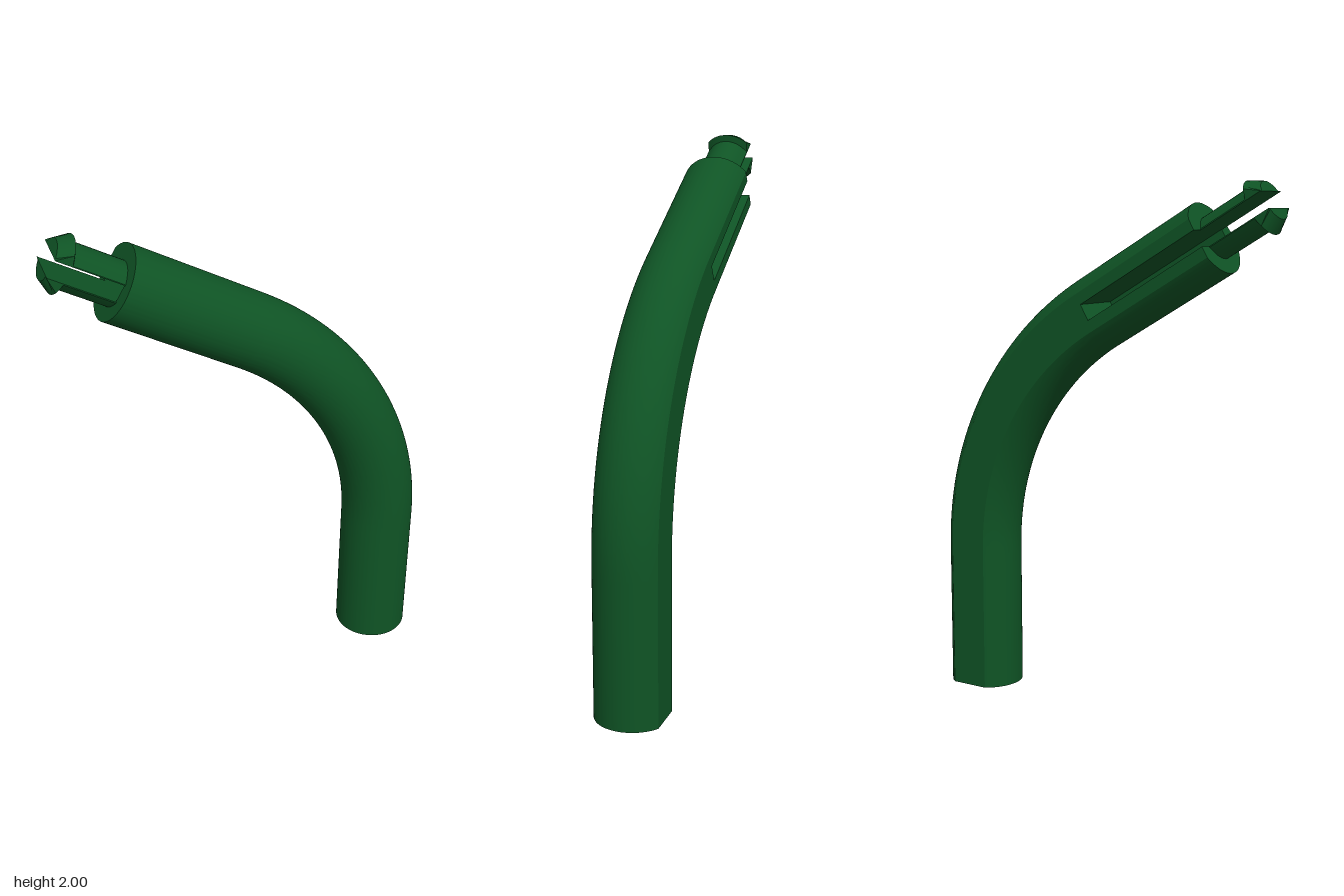
import * as THREE from 'three';
import { toCreasedNormals } from 'three/addons/utils/BufferGeometryUtils.js';

const RADIUS = 0.143, FLAT = 0.121;          // tube radius, distance of the back flat from the axis
const BASE_X = 0.578, AXIS_Z = -0.013;
const RISE = 0.57, BEND = 1.098, ANGLE = Math.PI / 3;
const ARC_END = RISE + BEND * ANGLE;
const TUBE_END = ARC_END + 0.565;
const SLOT_START = TUBE_END - 0.55;
const GAP = 0.033;                           // half width of the slot

// Point at distance s along the bent axis, a outward in the bend plane, b toward the back
function onPath(s, a, b) {
  const t = THREE.MathUtils.clamp((s - RISE) / BEND, 0, ANGLE);
  const c = Math.cos(t), n = Math.sin(t);
  const extra = s < RISE ? s - RISE : Math.max(0, s - ARC_END);
  const r = BEND + a;
  return [BASE_X - BEND + r * c - n * extra, RISE + r * n + c * extra, AXIS_Z - b];
}

// Move every vertex through a rule that returns path coordinates
function bend(geometry, rule) {
  const p = geometry.attributes.position;
  for (let i = 0; i < p.count; i++) {
    p.setXYZ(i, ...onPath(...rule(p.getX(i), p.getY(i), p.getZ(i))));
  }
  return toCreasedNormals(geometry, 0.4);
}

// Circle with a flat back, optionally notched by the slot
function tubeSection(slotted) {
  const edge = Math.asin(FLAT / RADIUS);
  const shape = new THREE.Shape();
  shape.absarc(0, 0, RADIUS, Math.PI - edge, 2 * Math.PI + edge, false);
  if (slotted) {
    const floor = -0.083;
    shape.lineTo(GAP, FLAT);
    shape.lineTo(GAP, floor);
    shape.lineTo(-GAP, floor);
    shape.lineTo(-GAP, FLAT);
  }
  shape.closePath();
  return shape;
}

function tube(s0, s1, steps, slotted) {
  const g = new THREE.ExtrudeGeometry(tubeSection(slotted), {
    depth: 1, steps, curveSegments: 48, bevelEnabled: false,
  });
  return bend(g, (a, b, k) => [s0 + (s1 - s0) * k, a, b]);
}

// Hooked prong: side profile extruded across, its outer side rounded
function prong(side) {
  const profile = [
    [-0.02, GAP], [0.265, GAP], [0.262, 0.076], [0.211, 0.108], [0.2, 0.085], [-0.02, 0.085],
  ];
  const shape = new THREE.Shape(profile.map(([u, v]) => new THREE.Vector2(u, v * side)));
  const half = 0.08;
  const g = new THREE.ExtrudeGeometry(shape, { depth: 2 * half, steps: 12, bevelEnabled: false });
  return bend(g, (u, v, d) => {
    const w = d - half, h = Math.abs(v);
    const round = h > GAP + 0.001
      ? Math.max(GAP + 0.004, Math.sqrt(Math.max(0, h * h - w * w))) : h;
    return [TUBE_END + u, side * round, w - 0.01];
  });
}

export function createModel() {
  const green = new THREE.MeshStandardMaterial({ color: 0x0f5425 });
  green.name = 'dark green';
  const group = new THREE.Group();
  group.name = 'bentTubeWithClip';
  const add = (name, geometry) => {
    const mesh = new THREE.Mesh(geometry, green);
    mesh.name = name;
    group.add(mesh);
  };

  add('bentTube', tube(0, SLOT_START, 48, false));
  add('slottedTubeEnd', tube(SLOT_START, TUBE_END, 1, true));
  add('upperProng', prong(1));
  add('lowerProng', prong(-1));
  return group;
}
